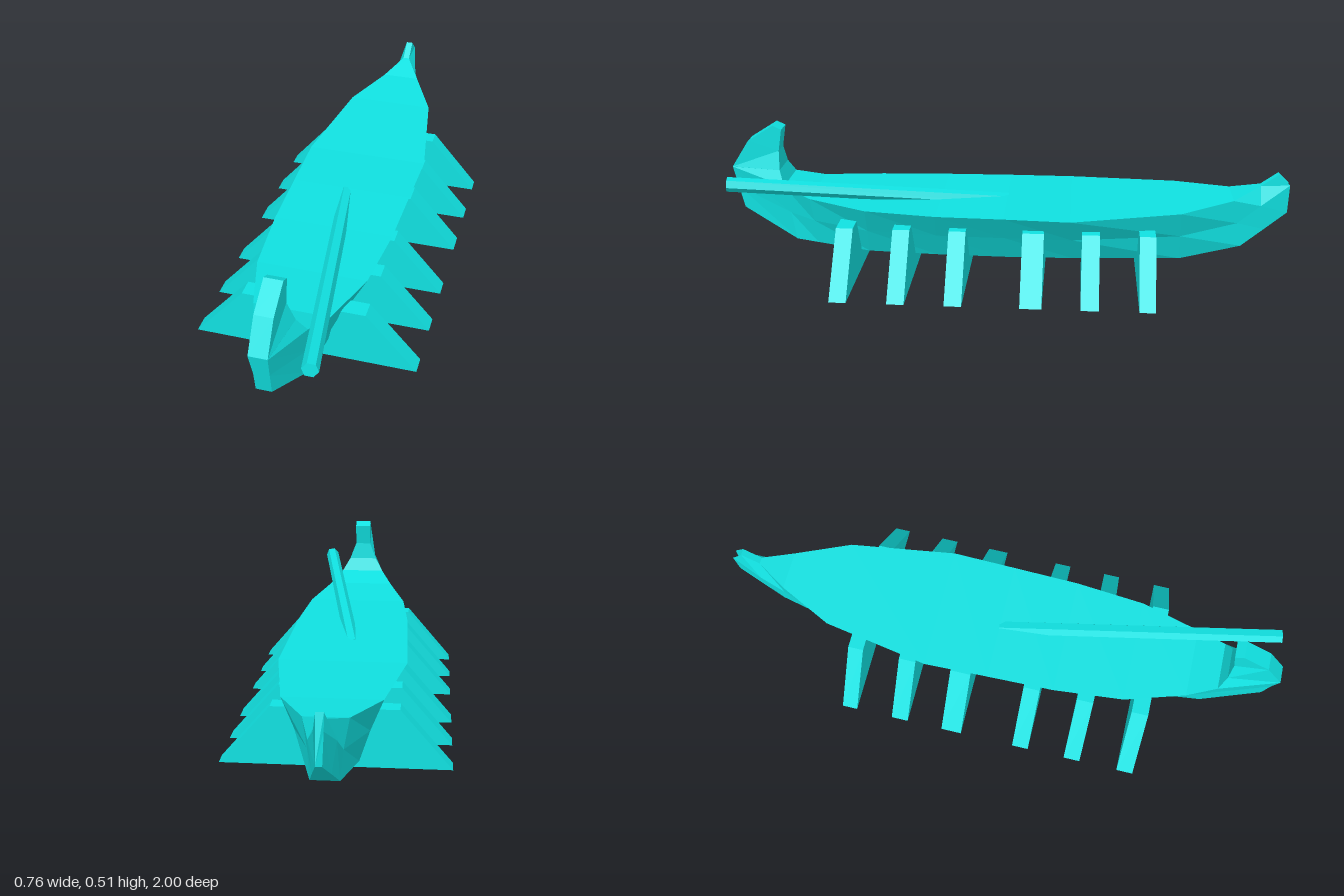
import * as THREE from 'three';

const material = new THREE.MeshStandardMaterial({ color: 0x10e0e0, flatShading: true });

function part(name, geometry) {
  const mesh = new THREE.Mesh(geometry, material);
  mesh.name = name;
  return mesh;
}

// Skins a row of equal-length rings and caps both ends.
function loft(rings) {
  const n = rings[0].length;
  const index = [];
  for (let i = 0; i < rings.length - 1; i++) {
    for (let j = 0; j < n; j++) {
      const k = (j + 1) % n;
      const a = i * n + j, b = i * n + k, c = a + n, d = b + n;
      index.push(a, c, b, b, c, d);
    }
  }
  const last = (rings.length - 1) * n;
  for (let j = 1; j < n - 1; j++) {
    index.push(0, j, j + 1, last, last + j + 1, last + j);
  }
  const geometry = new THREE.BufferGeometry();
  geometry.setAttribute('position', new THREE.Float32BufferAttribute(rings.flat(2), 3));
  geometry.setIndex(index);
  const flat = geometry.toNonIndexed();
  flat.computeVertexNormals();
  return flat;
}

// Hull sections from bow to stern: keel, optional side knuckle, deck edge, each [half width, y, z]
function createHull() {
  const sections = [
    { keel: [0.025, 0.197, 0.97], deck: [0.03, 0.355, 1] },
    { keel: [0.07, 0.094, 0.77], deck: [0.085, 0.305, 0.8] },
    { keel: [0.077, 0.085, 0.69], deck: [0.125, 0.275, 0.7] },
    { keel: [0.09, 0.063, 0.5], deck: [0.187, 0.26, 0.49] },
    { keel: [0.1, 0.061, 0.25], deck: [0.21, 0.256, 0.24] },
    { keel: [0.104, 0.061, 0], deck: [0.216, 0.256, 0] },
    { keel: [0.1, 0.062, -0.24], deck: [0.222, 0.254, -0.23] },
    { keel: [0.085, 0.067, -0.62], deck: [0.16, 0.27, -0.61] },
    { keel: [0.045, 0.105, -0.84], deck: [0.07, 0.288, -0.8] },
    { keel: [0.028, 0.165, -0.92], knuckle: [0.042, 0.26, -0.9], deck: [0.012, 0.325, -0.9] },
    { keel: [0.01, 0.225, -1], knuckle: [0.015, 0.33, -1], deck: [0.012, 0.37, -0.96] },
  ];
  const mirror = ([x, y, z]) => [-x, y, z];
  return part('hull', loft(sections.map(({ keel, knuckle, deck }) => {
    const mid = knuckle ?? keel.map((v, i) => (v + deck[i]) / 2 - (i === 0 ? 0.004 : 0));
    return [keel, mid, deck, mirror(deck), mirror(mid), mirror(keel)];
  })));
}

// Curled prow, levels from deck upward: front edge then back edge
function createProw() {
  const levels = [
    [[0.03, 0.355, 1], [0.085, 0.305, 0.8]],
    [[0.03, 0.356, 1], [0.055, 0.355, 0.82]],
    [[0.03, 0.455, 0.935], [0.03, 0.42, 0.825]],
    [[0.03, 0.515, 0.84], [0.03, 0.5, 0.81]],
  ];
  return part('prow', loft(levels.map(([[fx, fy, fz], [bx, by, bz]]) => [
    [fx, fy, fz], [-fx, fy, fz], [-bx, by, bz], [bx, by, bz],
  ])));
}

// Trapezoid plates carrying the hull
function createSupports() {
  const group = new THREE.Group();
  group.name = 'supports';
  const outline = new THREE.Shape([
    new THREE.Vector2(-0.38, 0), new THREE.Vector2(0.38, 0),
    new THREE.Vector2(0.208, 0.202), new THREE.Vector2(-0.208, 0.202),
  ]);
  const plates = [[0.56, 0.06], [0.36, 0.06], [0.163, 0.06], [-0.102, 0.075], [-0.302, 0.062], [-0.497, 0.056]];
  plates.forEach(([z, depth]) => {
    const plate = part('support', new THREE.ExtrudeGeometry(outline, { depth, bevelEnabled: false }));
    plate.position.z = z - depth / 2;
    group.add(plate);
  });
  return group;
}

// Six-sided pole sinking into the deck amidships
function createPole() {
  const tip = new THREE.Vector3(0.149, 0.333, 0.985);
  const foot = new THREE.Vector3(-0.017, 0.234, 0);
  const length = tip.distanceTo(foot);
  const pole = part('pole', new THREE.CylinderGeometry(0.026, 0.026, length, 6, 1, false, Math.PI / 6));
  pole.position.copy(tip).add(foot).multiplyScalar(0.5);
  pole.quaternion.setFromUnitVectors(new THREE.Vector3(0, 1, 0), tip.clone().sub(foot).normalize());
  return pole;
}

export function createModel() {
  const model = new THREE.Group();
  model.name = 'boat';
  model.add(createHull(), createProw(), createSupports(), createPole());
  return model;
}
